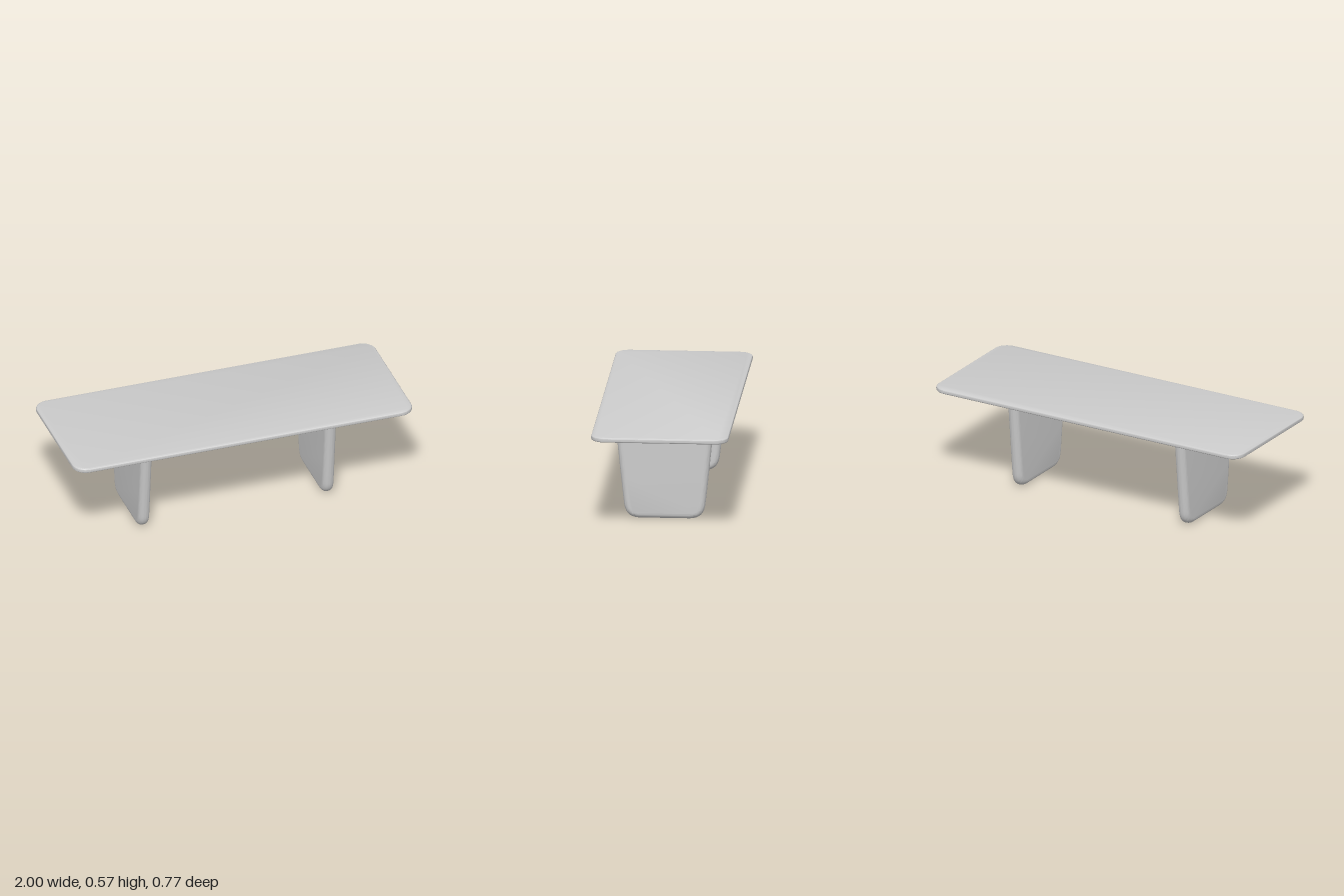
import * as THREE from 'three';
import { toCreasedNormals } from 'three/addons/utils/BufferGeometryUtils.js';

const material = new THREE.MeshStandardMaterial({ color: 0xcccccc });

function addMesh(parent, name, geometry, x = 0, y = 0, z = 0) {
  const mesh = new THREE.Mesh(geometry, material);
  mesh.name = name;
  mesh.position.set(x, y, z);
  parent.add(mesh);
  return mesh;
}

function roundedRect(hw, hh, r) {
  const s = new THREE.Shape();
  s.absarc(hw - r, hh - r, r, 0, Math.PI / 2);
  s.absarc(-hw + r, hh - r, r, Math.PI / 2, Math.PI);
  s.absarc(-hw + r, -hh + r, r, Math.PI, Math.PI * 1.5);
  s.absarc(hw - r, -hh + r, r, Math.PI * 1.5, Math.PI * 2);
  return s;
}

// Extrusion centred on its depth, edges rounded inward so the outline keeps its size
function softSlab(shape, thickness, round, curveSegments) {
  const g = new THREE.ExtrudeGeometry(shape, {
    depth: thickness - 2 * round, bevelEnabled: true, bevelThickness: round,
    bevelSize: round, bevelOffset: -round, bevelSegments: 6, curveSegments,
  });
  g.translate(0, 0, -(thickness - 2 * round) / 2);
  return g;
}

// Tapered panel leg with fully rounded edges, cut flat under the top
function legGeometry() {
  const s = new THREE.Shape();
  s.moveTo(-0.14, 0.003);
  s.lineTo(0.14, 0.003);
  s.bezierCurveTo(0.195, 0.005, 0.222, 0.03, 0.228, 0.09);
  s.quadraticCurveTo(0.236, 0.15, 0.276, 0.545);
  s.lineTo(0.276, 0.62);
  s.lineTo(-0.276, 0.62);
  s.lineTo(-0.276, 0.545);
  s.quadraticCurveTo(-0.236, 0.15, -0.228, 0.09);
  s.bezierCurveTo(-0.222, 0.03, -0.195, 0.005, -0.14, 0.003);
  const g = softSlab(s, 0.066, 0.03, 14);
  g.translate(0, -0.003, 0);
  const p = g.attributes.position;
  for (let i = 0; i < p.count; i++) p.setY(i, Math.min(p.getY(i), 0.55));
  g.rotateY(-Math.PI / 2);
  return toCreasedNormals(g, 0.7);
}

// Slanted rail: its cross-section leans outward toward the top
function railGeometry(side) {
  const s = new THREE.Shape([[0.055, 0.44], [0.13, 0.542], [0.113, 0.542], [0.038, 0.44]]
    .map(([z, y]) => new THREE.Vector2(z * side, y)));
  const g = new THREE.ExtrudeGeometry(s, { depth: 1.04, bevelEnabled: false });
  g.translate(0, 0, -0.52);
  g.rotateY(-Math.PI / 2);
  return g;
}

// Small fixing with a mounting plate, block and bolts
function makeBracket() {
  const bracket = new THREE.Group();
  bracket.name = 'bracket';
  addMesh(bracket, 'mountingPlate', new THREE.BoxGeometry(0.052, 0.006, 0.052), 0, 0.537, 0);
  addMesh(bracket, 'bracketBlock', new THREE.BoxGeometry(0.03, 0.02, 0.03), 0, 0.525, 0);
  for (const x of [-0.016, 0.016]) {
    for (const z of [-0.016, 0.016]) {
      addMesh(bracket, 'bolt', new THREE.CylinderGeometry(0.008, 0.008, 0.024, 6), x, 0.524, z);
    }
  }
  return bracket;
}

export function createModel() {
  const table = new THREE.Group();
  table.name = 'table';

  // Top board
  const top = softSlab(roundedRect(1, 0.384, 0.08), 0.028, 0.012, 12);
  top.rotateX(-Math.PI / 2);
  addMesh(table, 'tableTop', toCreasedNormals(top, 0.7), 0, 0.554, 0);

  // Panel legs
  const leg = legGeometry();
  addMesh(table, 'leftLeg', leg, 0.543);
  addMesh(table, 'rightLeg', leg, -0.543);

  // Rails between the legs, and brackets at their ends
  for (const side of [1, -1]) {
    addMesh(table, side > 0 ? 'frontRail' : 'backRail', railGeometry(side));
    for (const end of [1, -1]) {
      const bracket = makeBracket();
      bracket.position.set(0.492 * end, 0, 0.18 * side);
      table.add(bracket);
    }
  }
  return table;
}
